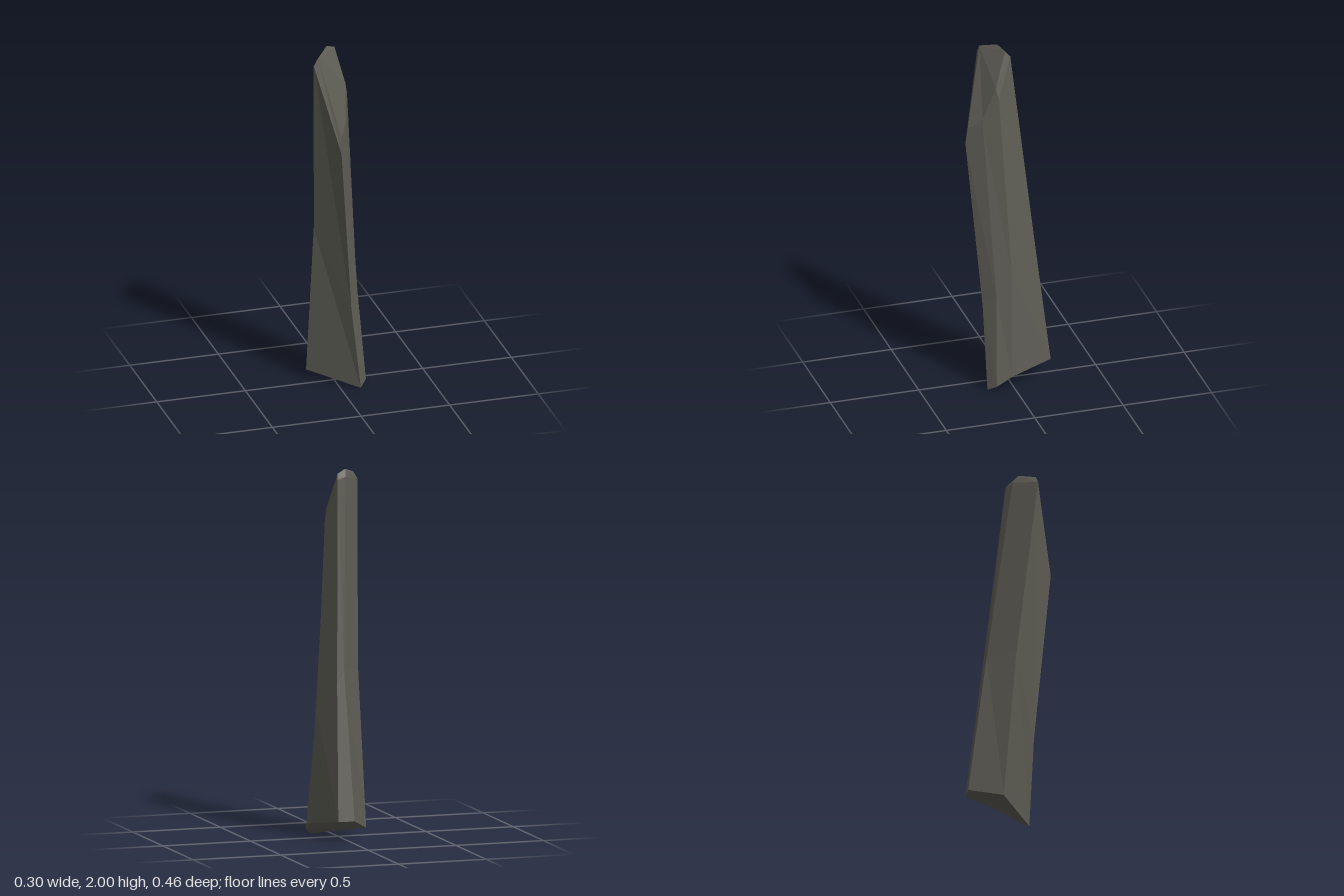
import * as THREE from 'three';

// Six-sided rings of the shard, bottom to top.
// Corner order: left, front ridge, front right, right, back right, back left.
const rings = [
  [[-0.138, 0.05, -0.065], [0.107, 0, 0.145], [0.148, 0.03, 0.105], [0.152, 0.08, 0.02], [0.075, 0.115, -0.222], [-0.015, 0.115, -0.23]],
  [[-0.118, 0.92, 0.012], [0.05, 0.49, 0.155], [0.104, 0.55, 0.093], [0.118, 0.68, 0.01], [0.052, 0.86, -0.135], [0.007, 0.92, -0.122]],
  [[-0.152, 1.93, 0.123], [-0.027, 1.44, 0.228], [0.025, 1.57, 0.146], [0.054, 1.72, 0.063], [0.008, 1.95, -0.015], [-0.045, 1.96, 0.01]],
  [[-0.127, 1.97, 0.118], [-0.022, 1.53, 0.217], [0.022, 1.6, 0.145], [0.042, 1.78, 0.077], [-0.002, 1.98, 0.012], [-0.055, 2.0, 0.04]],
];

// Flat-faced geometry from a list of corner triples
function facets(triangles) {
  const g = new THREE.BufferGeometry();
  g.setAttribute('position', new THREE.Float32BufferAttribute(triangles.flat(2), 3));
  g.computeVertexNormals();
  return g;
}

// Side band between two rings
function band(lower, upper) {
  return lower.flatMap((a, i) => {
    const j = (i + 1) % lower.length;
    return [[a, lower[j], upper[i]], [lower[j], upper[j], upper[i]]];
  });
}

// Fan closing a ring, facing up
function cap(ring) {
  return ring.slice(2).map((p, i) => [ring[0], ring[i + 1], p]);
}

export function createModel() {
  const group = new THREE.Group();
  group.name = 'stoneShard';
  const stone = new THREE.MeshStandardMaterial({ color: 0x5e5d55, flatShading: true });
  stone.name = 'dark stone';

  const add = (name, triangles) => {
    const mesh = new THREE.Mesh(facets(triangles), stone);
    mesh.name = name;
    group.add(mesh);
  };

  add('lowerShaft', band(rings[0], rings[1]));
  add('upperShaft', band(rings[1], rings[2]));
  add('bevelledRim', band(rings[2], rings[3]));
  add('slantedTop', cap(rings[3]));
  add('brokenBase', cap([...rings[0]].reverse()));
  return group;
}
